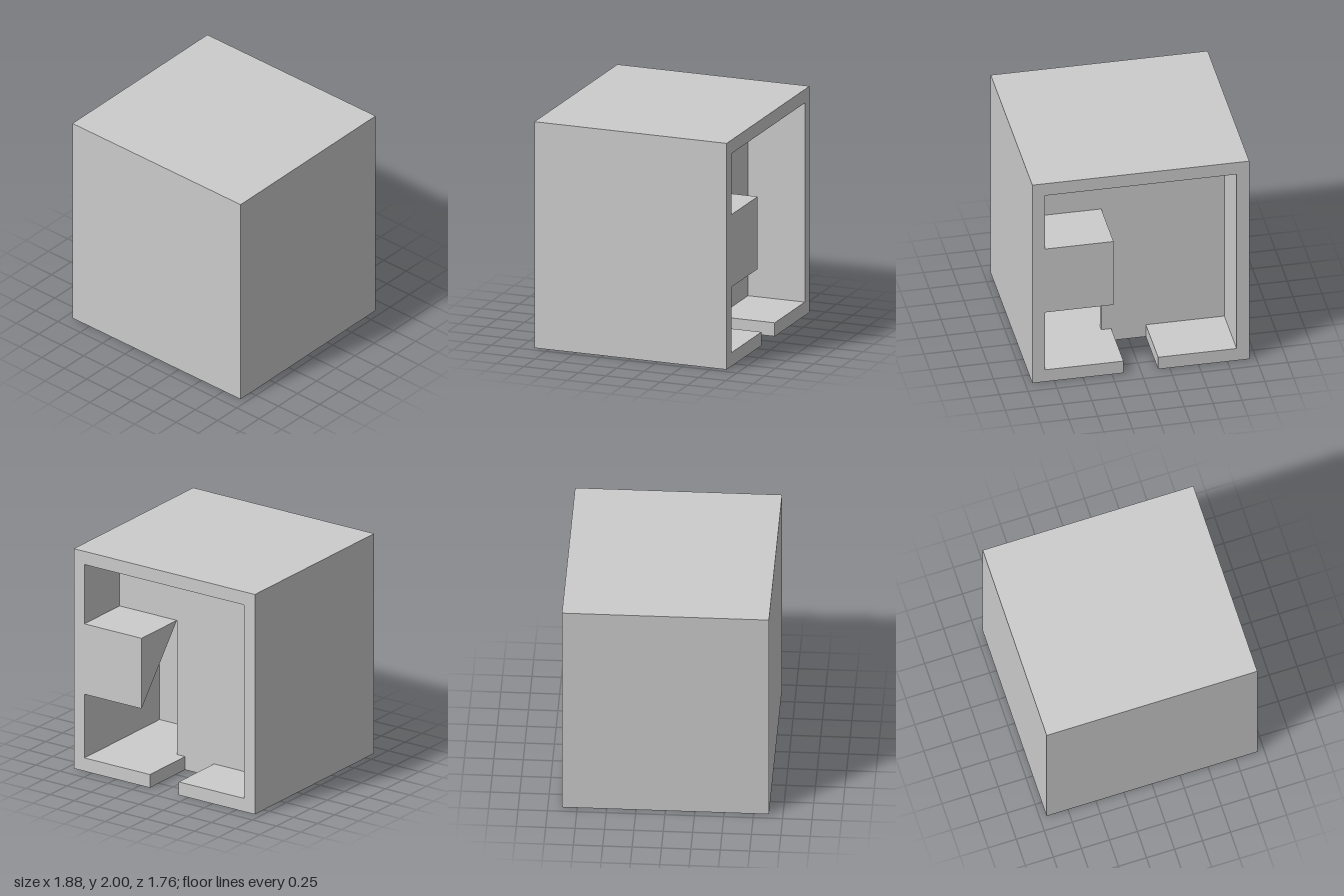
import * as THREE from 'three';

const W = 0.94, H = 2, D = 0.88;          // half width, height, half depth
const IN = 0.83, FLOOR = 0.12, CEIL = 1.88; // inner faces of the shell
const PANEL_Z = -0.36, CAVITY_Z = 0.23;   // divider and cavity end
const SHELF_X = 0.236, SHELF_Y = 1.34;    // inner edge and top of the chute

const material = new THREE.MeshStandardMaterial({ color: 0xcccccc, flatShading: true });

const toShape = pts => new THREE.Shape(pts.map(([x, y]) => new THREE.Vector2(x, y)));

// Extrudes an x-y outline from z0 to z1
function slab(name, shape, z0, z1) {
  const geo = new THREE.ExtrudeGeometry(shape, { depth: z1 - z0, bevelEnabled: false });
  geo.translate(0, 0, z0);
  const mesh = new THREE.Mesh(geo, material);
  mesh.name = name;
  return mesh;
}

export function createModel() {
  const model = new THREE.Group();
  model.name = 'cabinet';

  // Rear frame, with a notch cut through the sill
  const notch = 0.15;
  model.add(slab('rearFrame', toShape([
    [notch, 0], [W, 0], [W, H], [-W, H], [-W, 0], [-notch, 0],
    [-notch, FLOOR], [-IN, FLOOR], [-IN, CEIL], [IN, CEIL], [IN, FLOOR], [notch, FLOOR],
  ]), -D, PANEL_Z));

  // Closed frame around the inner cavity
  const outer = [[-W, 0], [W, 0], [W, H], [-W, H]];
  const ring = toShape(outer);
  ring.holes.push(toShape([[-IN, FLOOR], [-IN, CEIL], [IN, CEIL], [IN, FLOOR]]));
  model.add(slab('innerFrame', ring, PANEL_Z, CAVITY_Z));

  // Solid front
  model.add(slab('frontBlock', toShape(outer), CAVITY_Z, D));

  // Thin divider with an opening in its lower left corner
  model.add(slab('dividerPanel', toShape([
    [-IN, FLOOR], [SHELF_X, FLOOR], [SHELF_X, SHELF_Y], [IN, SHELF_Y], [IN, CEIL], [-IN, CEIL],
  ]), PANEL_Z, PANEL_Z + 0.05));

  // Wedge-shaped chute: flat top, upright rear face, sloping underside
  const wedge = toShape([[-D, SHELF_Y], [-D, 0.7], [PANEL_Z, SHELF_Y]]);
  const geo = new THREE.ExtrudeGeometry(wedge, { depth: IN - SHELF_X, bevelEnabled: false });
  geo.rotateY(-Math.PI / 2); // outline x becomes z, extrusion runs toward -x
  geo.translate(IN, 0, 0);
  const chute = new THREE.Mesh(geo, material);
  chute.name = 'chute';
  model.add(chute);

  return model;
}
